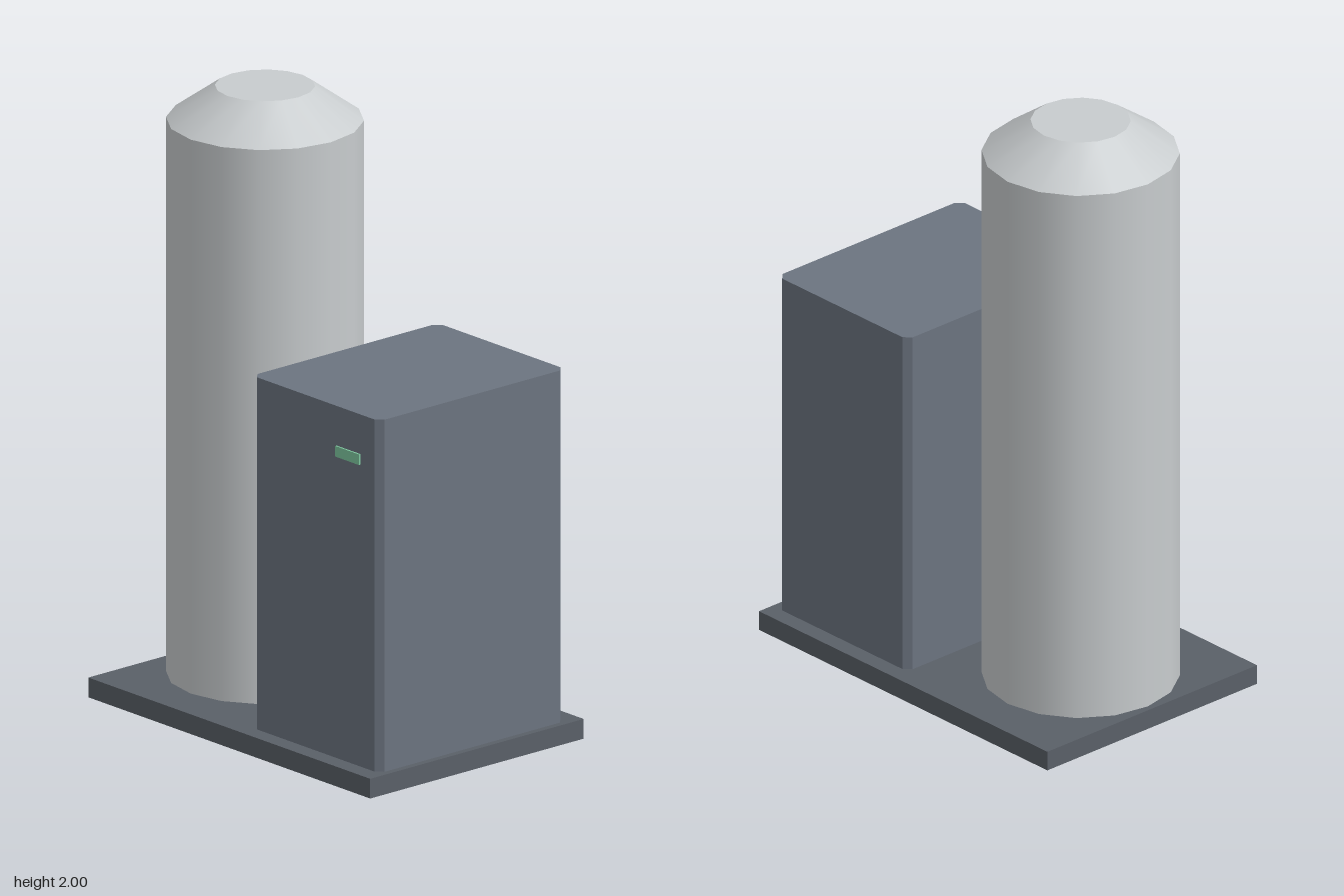
import * as THREE from 'three';

const material = (color) => new THREE.MeshStandardMaterial({ color });

export function createModel() {
  const model = new THREE.Group();
  const add = (name, geometry, mat, x, y, z) => {
    const mesh = new THREE.Mesh(geometry, mat);
    mesh.name = name;
    mesh.position.set(x, y, z);
    model.add(mesh);
    return mesh;
  };

  const dark = material(0x5a6068);
  const steel = material(0xc8ccce);
  const slate = material(0x6c7480);
  const green = material(0x7fc8a0);

  // Base slab
  const baseTop = 0.065;
  add('base', new THREE.BoxGeometry(1.33, baseTop, 0.89), dark, 0, baseTop / 2, 0);

  // Sixteen-sided tank with a truncated cone on top
  const tankX = -0.335, tankR = 0.31, shoulder = 1.89;
  add('tank', new THREE.CylinderGeometry(tankR, tankR, shoulder - baseTop, 16),
    steel, tankX, (shoulder + baseTop) / 2, 0);
  add('tankTop', new THREE.CylinderGeometry(0.157, tankR, 2 - shoulder, 16),
    steel, tankX, (2 + shoulder) / 2, 0);

  // Cabinet with chamfered upright edges
  const w = 0.3, d = 0.388, c = 0.023, height = 1.16;
  const outline = new THREE.Shape([
    [-w + c, -d], [w - c, -d], [w, -d + c], [w, d - c],
    [w - c, d], [-w + c, d], [-w, d - c], [-w, -d + c],
  ].map(([x, y]) => new THREE.Vector2(x, y)));
  const cabinet = new THREE.ExtrudeGeometry(outline, { depth: height, bevelEnabled: false });
  cabinet.rotateX(-Math.PI / 2);
  add('cabinet', cabinet, slate, 0.343, baseTop, 0);

  // Display on the cabinet front
  add('display', new THREE.BoxGeometry(0.112, 0.035, 0.02), green, 0.498, 1.077, 0.384);

  // Pipe joining tank and cabinet
  const pipe = new THREE.CylinderGeometry(0.032, 0.032, 0.12, 8);
  pipe.rotateZ(Math.PI / 2);
  add('connectingPipe', pipe, dark, 0, 0.448, 0.11);

  return model;
}
